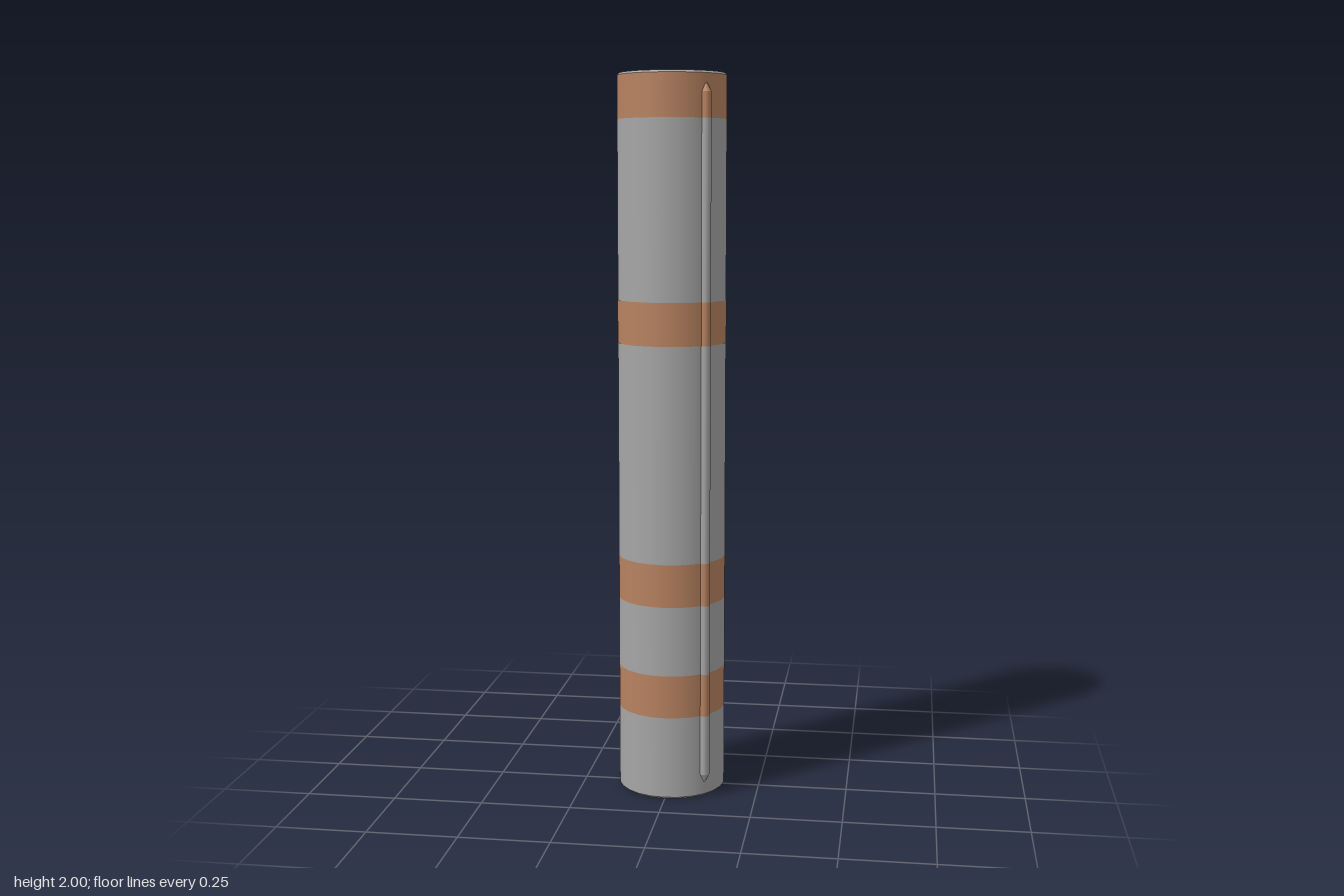
import * as THREE from 'three';

const R = 0.15, SIDES = 24, BEVEL = 0.006;
// painted bands: [bottom, top]; the third one is open at the back
const BANDS = [[0.235, 0.355], [0.55, 0.67], [1.27, 1.388], [1.877, 2 - BEVEL]];
const OPEN_BAND = 2;

// split a height range into alternating plain and painted sections
function sections(y0, y1) {
  const out = [];
  let y = y0;
  BANDS.forEach(([a, b], i) => {
    const lo = Math.max(a, y0), hi = Math.min(b, y1);
    if (hi <= lo) return;
    if (lo > y) out.push([y, lo, -1]);
    out.push([lo, hi, i]);
    y = hi;
  });
  if (y < y1) out.push([y, y1, -1]);
  return out;
}

function tube(name, mat, r0, r1, y0, y1, sides) {
  const m = new THREE.Mesh(new THREE.CylinderGeometry(r1, r0, y1 - y0, sides, 1, true), mat);
  m.position.y = (y0 + y1) / 2;
  m.name = name;
  return m;
}

// thin strip wrapped round the faceted body, with rounded ends beside a gap at the back
function openBand(y0, y1, halfGap, mat) {
  const geo = new THREE.PlaneGeometry(1, 1, 240, 1);
  const p = geo.attributes.position, n = geo.attributes.normal;
  const reach = Math.PI - halfGap, corner = 0.025, facet = (2 * Math.PI) / SIDES;
  for (let i = 0; i < p.count; i++) {
    const t = p.getX(i) * 2 * reach;
    const toEnd = (reach - Math.abs(t)) * R;
    const k = Math.max(0, corner - toEnd);
    const cut = corner - Math.sqrt(Math.max(0, corner * corner - k * k));
    const y = p.getY(i) > 0 ? y1 - cut : y0 + cut;
    const local = t - Math.floor(t / facet) * facet - facet / 2;
    const r = (R * Math.cos(facet / 2)) / Math.cos(local) + 0.001;
    p.setXYZ(i, Math.sin(t) * r, y, Math.cos(t) * r);
    n.setXYZ(i, Math.sin(t), 0, Math.cos(t));
  }
  const m = new THREE.Mesh(geo, mat);
  m.name = 'openBand';
  return m;
}

export function createModel() {
  const grey = new THREE.MeshStandardMaterial({ color: 0xa6a6a6 });
  grey.name = 'grey';
  const copper = new THREE.MeshStandardMaterial({ color: 0xb78260 });
  copper.name = 'copper';

  const model = new THREE.Group();
  model.name = 'bandedCylinder';

  // body wall
  const body = new THREE.Group();
  body.name = 'body';
  for (const [a, b, band] of sections(BEVEL, 2 - BEVEL)) {
    const painted = band >= 0 && band !== OPEN_BAND;
    body.add(tube(painted ? 'band' : 'wall', painted ? copper : grey, R, R, a, b, SIDES));
  }
  body.add(openBand(...BANDS[OPEN_BAND], 0.3, copper));

  // bevelled rims and end caps
  body.add(tube('bottomRim', grey, R - BEVEL, R, 0, BEVEL, SIDES));
  body.add(tube('topRim', grey, R, R - BEVEL, 2 - BEVEL, 2, SIDES));
  for (const top of [true, false]) {
    const cap = new THREE.Mesh(new THREE.CircleGeometry(R - BEVEL, SIDES), grey);
    cap.rotation.x = top ? -Math.PI / 2 : Math.PI / 2;
    cap.position.y = top ? 2 : 0;
    cap.name = top ? 'topCap' : 'bottomCap';
    body.add(cap);
  }
  model.add(body);

  // two slim pointed rods on opposite sides, painted along with the bands
  for (const s of [1, -1]) {
    const rod = new THREE.Group();
    rod.name = s > 0 ? 'frontRod' : 'backRod';
    const r = 0.014;
    for (const [a, b, band] of sections(0.065, 1.945)) {
      rod.add(tube('rodSection', band >= 0 ? copper : grey, r, r, a, b, 8));
    }
    rod.add(tube('rodTopTip', copper, r, 0.002, 1.945, 1.968, 8));
    rod.add(tube('rodBottomTip', grey, 0.002, r, 0.042, 0.065, 8));
    rod.position.set(s * 0.107, 0, s * 0.107);
    model.add(rod);
  }
  return model;
}
